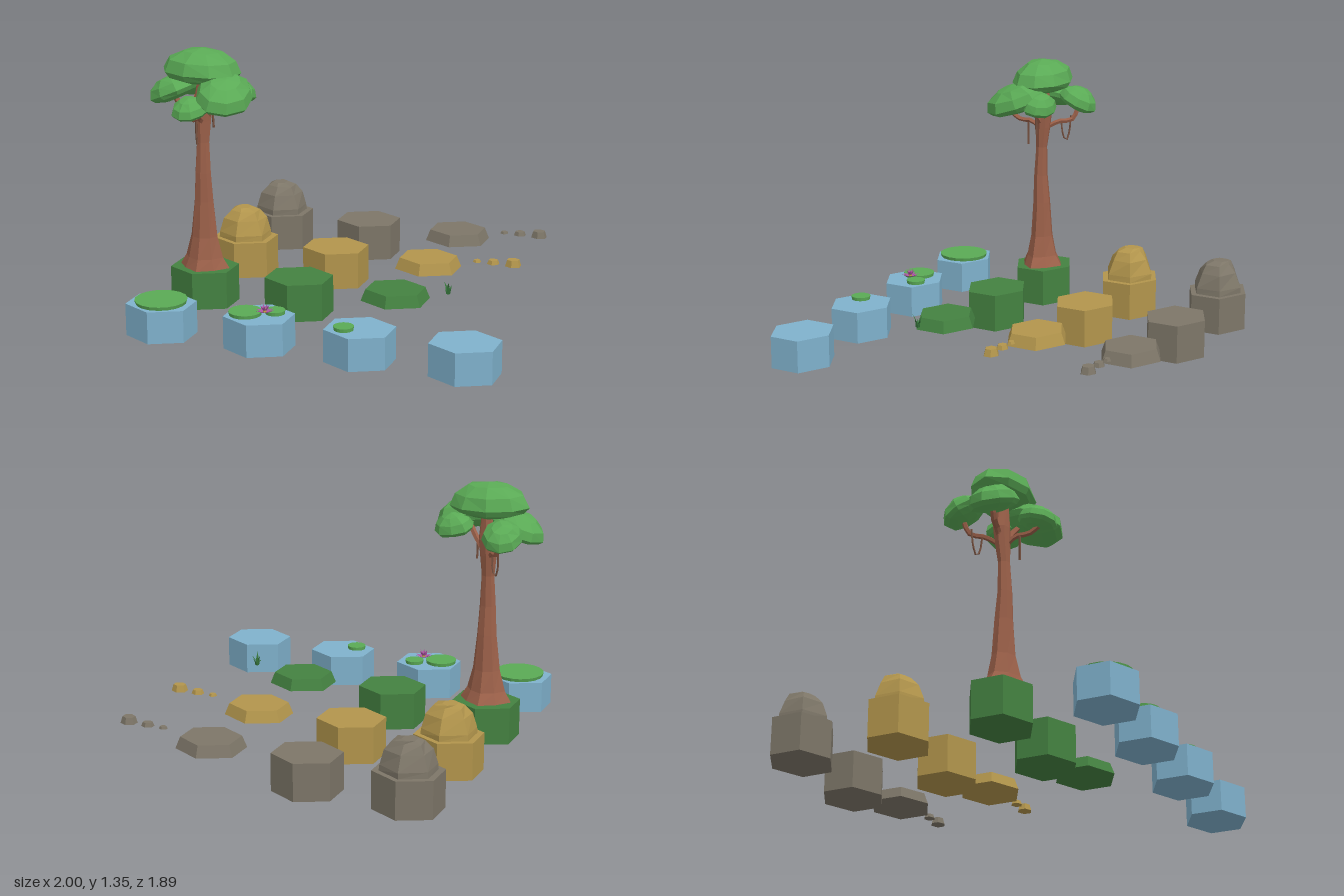
import * as THREE from 'three';

const mat = (name, color) => {
  const m = new THREE.MeshStandardMaterial({ color });
  m.name = name;
  return m;
};

// Facet a geometry so that every face is flat
function facet(g) {
  const f = g.index ? g.toNonIndexed() : g;
  f.computeVertexNormals();
  return f;
}

// Closed solid through rings of points, listed from bottom to top
function loft(rings) {
  const n = rings[0].length, pos = [], idx = [];
  rings.forEach(r => r.forEach(p => pos.push(...p)));
  for (let k = 0; k < rings.length - 1; k++) {
    for (let i = 0; i < n; i++) {
      const a = k * n + i, b = k * n + (i + 1) % n;
      idx.push(a, b, b + n, a, b + n, a + n);
    }
  }
  const top = (rings.length - 1) * n;
  for (let i = 1; i < n - 1; i++) {
    idx.push(0, i + 1, i, top, top + i, top + i + 1);
  }
  const g = new THREE.BufferGeometry();
  g.setAttribute('position', new THREE.Float32BufferAttribute(pos, 3));
  g.setIndex(idx);
  return facet(g);
}

const ring = (n, fn) => Array.from({ length: n }, (_, i) => fn(i / n * Math.PI * 2, i));

export function createModel() {
  const root = new THREE.Group();
  root.name = 'hexTileSet';
  const water = mat('water blue', 0x7fb1cc);
  const grass = mat('grass green', 0x448241);
  const sand = mat('sand', 0xb2954c);
  const stone = mat('stone grey', 0x7d7668);
  const leaf = mat('leaf green', 0x5aaa55);
  const bark = mat('bark brown', 0x9b6049);
  const vineBrown = mat('vine brown', 0x75503f);
  const pink = mat('petal purple', 0xa8529f);
  const yellow = mat('pollen yellow', 0xd9b04a);
  const blade = mat('blade green', 0x35733a);
  pink.side = blade.side = THREE.DoubleSide;

  const add = (name, geo, material, x = 0, y = 0, z = 0, parent = root) => {
    const m = new THREE.Mesh(geo, material);
    m.name = name;
    m.position.set(x, y, z);
    parent.add(m);
    return m;
  };

  const COLS = [-0.73, -0.205, 0.315, 0.84];
  const TOP = 0.195, WATER = 0.165;
  const hex = (r0, r1, h) =>
    facet(new THREE.CylinderGeometry(r1, r0, h, 6).scale(1.13, 1, 1).translate(0, h / 2, 0));

  // Water tiles
  COLS.forEach(x => add('waterTile', hex(0.16, 0.16, WATER), water, x, 0, 0.78));

  // Land rows: two full tiles and one thin bevelled plate each
  const rows = [['grass', grass, 0.26], ['sand', sand, -0.27], ['stone', stone, -0.79]];
  for (const [name, m, z] of rows) {
    add(name + 'Tile', hex(0.16, 0.16, TOP), m, COLS[0], 0, z);
    add(name + 'Tile', hex(0.16, 0.16, TOP), m, COLS[1], 0, z);
    add(name + 'Plate', hex(0.16, 0.138, 0.06), m, COLS[2], 0.135, z);
  }

  // Boulders and pebbles on the sand and stone rows
  const boulderRings = [[0, 0.138, 0], [0.03, 0.136, 0.02], [0.105, 0.108, 0.06], [0.148, 0.075, 0.14]];
  const boulder = loft([
    ...boulderRings.map(([y, r, j]) => ring(6, (a, i) => {
      const s = r * (1 + j * Math.sin(i * 2.3 + y * 30));
      return [Math.sin(a) * s * 1.05, y, Math.cos(a) * s * 0.95];
    })),
    ring(6, a => [Math.sin(a) * 0.04 - 0.01, 0.163, Math.cos(a) * 0.045 - 0.01])
  ]);
  for (const [name, m, z] of rows.slice(1)) {
    add(name + 'Boulder', boulder, m, COLS[0], TOP, z);
    [[0.58, 0.02, 0.012], [0.668, 0.03, 0.021], [0.775, 0.039, 0.035]].forEach(([x, r, h]) =>
      add(name + 'Pebble', hex(r, r * 0.75, h), m, x, TOP, z - 0.005));
  }

  // Tree trunk with flared, ridged roots
  const tree = new THREE.Group();
  tree.name = 'tree';
  root.add(tree);
  const trunk = [ // y, centre x, centre z, radius x, radius z, ridge
    [0.19, -0.725, 0.265, 0.135, 0.115, 0.14],
    [0.25, -0.725, 0.27, 0.1, 0.085, 0.1],
    [0.36, -0.724, 0.27, 0.072, 0.06, 0.05],
    [0.55, -0.722, 0.27, 0.052, 0.046, 0],
    [0.7, -0.721, 0.275, 0.043, 0.036, 0],
    [0.86, -0.72, 0.27, 0.034, 0.03, 0],
    [0.97, -0.722, 0.262, 0.045, 0.038, 0],
    [1.05, -0.722, 0.258, 0.052, 0.042, 0],
    [1.2, -0.715, 0.26, 0.03, 0.03, 0]
  ];
  add('trunk', loft(trunk.map(([y, x, z, rx, rz, k]) => ring(8, (a, i) => {
    const s = 1 + (i % 2 ? -k : k * 0.3);
    return [x + Math.sin(a) * rx * s, y, z + Math.cos(a) * rz * s];
  }))), bark, 0, 0, 0, tree);

  // Branches and hanging vines
  const tube = (name, pts, r, m) => add(name, facet(new THREE.TubeGeometry(
    new THREE.CatmullRomCurve3(pts.map(p => new THREE.Vector3(...p))), 8, r, 5)), m, 0, 0, 0, tree);
  tube('frontBranch', [[-0.72, 0.95, 0.265], [-0.715, 1.0, 0.33], [-0.71, 1.005, 0.4], [-0.71, 1.06, 0.48]], 0.013, bark);
  tube('leftBranch', [[-0.73, 0.97, 0.26], [-0.78, 1.03, 0.26], [-0.84, 1.045, 0.27], [-0.88, 1.12, 0.28]], 0.015, bark);
  tube('backBranch', [[-0.73, 0.96, 0.26], [-0.77, 1.0, 0.19], [-0.81, 1.01, 0.13], [-0.84, 1.1, 0.1]], 0.013, bark);
  tube('rightBranch', [[-0.71, 0.97, 0.26], [-0.66, 1.04, 0.27], [-0.6, 1.12, 0.3]], 0.015, bark);
  tube('loopVine', [[-0.815, 1.03, 0.14], [-0.813, 0.93, 0.15], [-0.795, 0.888, 0.16], [-0.777, 0.93, 0.17], [-0.775, 1.01, 0.18]], 0.005, vineBrown);
  tube('frontVine', [[-0.715, 1.01, 0.35], [-0.718, 0.94, 0.352], [-0.715, 0.865, 0.35]], 0.006, vineBrown);
  tube('rightVine', [[-0.657, 1.05, 0.27], [-0.66, 0.99, 0.272], [-0.658, 0.94, 0.27]], 0.006, vineBrown);

  // Leaf clumps: squashed domes with shallow undersides, tilted outwards
  const clumps = [ // name, centre, radii, tilt x, tilt z
    ['topClump', [-0.72, 1.225, 0.265], [0.205, 0.122, 0.155], 0, -0.03],
    ['rightClump', [-0.565, 1.125, 0.34], [0.145, 0.1, 0.175], 0.28, -0.22],
    ['leftClump', [-0.87, 1.115, 0.28], [0.14, 0.085, 0.125], 0, 0.4],
    ['backLeftClump', [-0.845, 1.105, 0.115], [0.105, 0.08, 0.11], -0.45, 0.1],
    ['frontClump', [-0.71, 1.06, 0.44], [0.092, 0.07, 0.1], 0.25, 0],
    ['backRightClump', [-0.56, 1.11, 0.2], [0.105, 0.08, 0.09], -0.25, -0.15]
  ];
  clumps.forEach(([name, c, r, tx, tz], k) => {
    const g = new THREE.SphereGeometry(1, 9, 6);
    const p = g.attributes.position, v = new THREE.Vector3();
    for (let i = 0; i < p.count; i++) {
      v.fromBufferAttribute(p, i);
      v.multiplyScalar(1 + 0.05 * Math.sin(4 * v.x + k) * Math.cos(5 * v.z + 2 * k));
      if (v.y < 0) v.y *= 0.5;
      p.setXYZ(i, v.x, v.y, v.z);
    }
    g.scale(...r);
    const m = add(name, facet(g), leaf, ...c, tree);
    m.rotation.set(tx, 0, tz);
  });

  // Lily pads
  [[-0.73, 0.78, 0.132], [-0.272, 0.792, 0.083], [-0.14, 0.73, 0.05], [0.25, 0.825, 0.05]].forEach(([x, z, r]) =>
    add('lilyPad', facet(new THREE.CylinderGeometry(r, r * 0.96, 0.018, 18)), leaf, x, WATER + 0.009, z));

  // Water lily with two rings of pointed petals
  const flower = new THREE.Group();
  flower.name = 'waterLily';
  flower.position.set(-0.172, 0.182, 0.785);
  root.add(flower);
  const petal = new THREE.BufferGeometry();
  petal.setAttribute('position', new THREE.Float32BufferAttribute(
    [0, 0, 0, 0.01, 0.004, 0.024, 0, 0, 0.024, -0.01, 0.004, 0.024, 0, 0.004, 0.05], 3));
  petal.setIndex([0, 2, 1, 0, 3, 2, 2, 4, 1, 3, 4, 2]);
  const petalGeo = facet(petal);
  [[8, 0.25, 1, 0], [7, 0.95, 0.9, 0.3]].forEach(([n, lift, size, turn]) => {
    for (let i = 0; i < n; i++) {
      const m = add('petal', petalGeo, pink, 0, 0, 0, flower);
      m.rotation.set(-lift, i / n * Math.PI * 2 + turn, 0, 'YXZ');
      m.scale.setScalar(size);
    }
  });
  add('pollen', facet(new THREE.CylinderGeometry(0.011, 0.008, 0.016, 8)), yellow, 0, 0.012, 0, flower);

  // Grass tuft made of bent blades
  const tuft = new THREE.Group();
  tuft.name = 'grassTuft';
  tuft.position.set(0.59, TOP, 0.255);
  root.add(tuft);
  const bladeGeo = new THREE.BufferGeometry();
  bladeGeo.setAttribute('position', new THREE.Float32BufferAttribute(
    [-0.007, 0, 0, 0.007, 0, 0, 0.006, 0.6, 0.006, -0.006, 0.6, 0.006, 0, 1, 0.02], 3));
  bladeGeo.setIndex([0, 1, 2, 0, 2, 3, 3, 2, 4]);
  const bladeFlat = facet(bladeGeo);
  [[0.3, 0.068], [1.6, 0.05], [2.7, 0.04], [4.2, 0.058], [5.3, 0.035]].forEach(([turn, h]) => {
    const m = add('grassBlade', bladeFlat, blade, Math.sin(turn) * 0.008, 0, Math.cos(turn) * 0.006, tuft);
    m.rotation.y = turn;
    m.scale.y = h;
  });

  return root;
}
